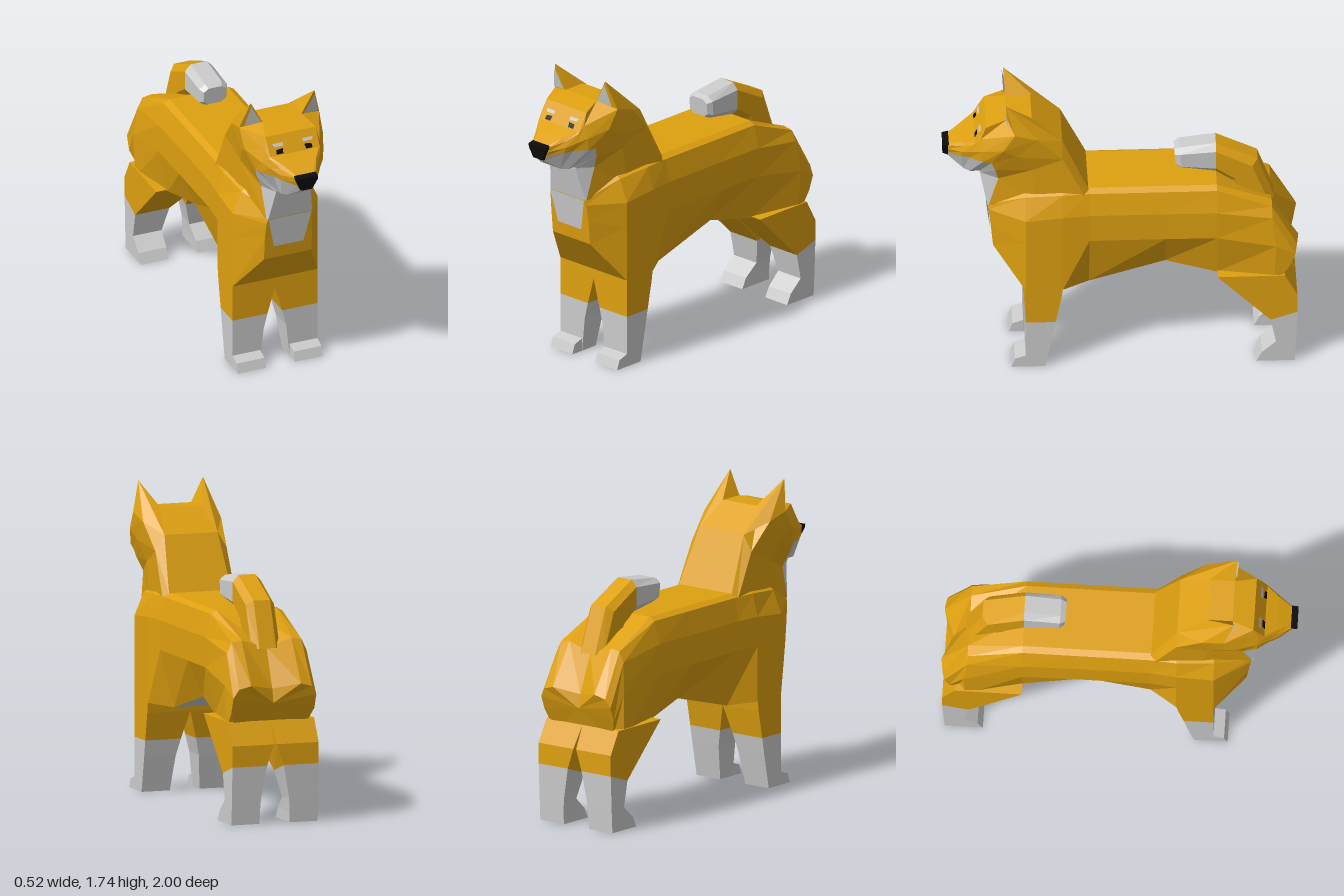
import * as THREE from 'three';

const GOLD = 0xdea010, GREY = 0xcccccc, BLACK = 0x0a0a0a;

function meshFrom(name, positions, color, side = THREE.FrontSide) {
  const g = new THREE.BufferGeometry();
  g.setAttribute('position', new THREE.Float32BufferAttribute(positions, 3));
  g.computeVertexNormals();
  const m = new THREE.Mesh(g, new THREE.MeshStandardMaterial({ color, flatShading: true, side }));
  m.name = name;
  return m;
}

// Closed skin over rings of equal point count; colorOf(band, strip) picks the paint, band -1 / -2 are the end caps
function loft(name, rings, colorOf) {
  const tris = [], n = rings[0].length;
  const add = (a, b, c, color) => tris.push({ p: [a, b, c], color });
  for (let i = 0; i < rings.length - 1; i++) {
    for (let j = 0; j < n; j++) {
      const k = (j + 1) % n, color = colorOf(i, j);
      add(rings[i][j], rings[i][k], rings[i + 1][k], color);
      add(rings[i][j], rings[i + 1][k], rings[i + 1][j], color);
    }
  }
  [rings[0], rings[rings.length - 1]].forEach((ring, e) => {
    const c = [0, 1, 2].map(a => ring.reduce((s, p) => s + p[a], 0) / n);
    for (let j = 0; j < n; j++) {
      const q = ring[j], r = ring[(j + 1) % n];
      if (e) add(c, q, r, colorOf(-2, j)); else add(c, r, q, colorOf(-1, j));
    }
  });
  // turn all faces outward
  const v = tris.map(t => t.p.map(p => new THREE.Vector3(...p)));
  const volume = v.reduce((s, [a, b, c]) => s + a.dot(b.clone().cross(c)), 0);
  const byColor = new Map();
  for (const t of tris) {
    if (!byColor.has(t.color)) byColor.set(t.color, []);
    byColor.get(t.color).push(...(volume < 0 ? [...t.p].reverse() : t.p).flat());
  }
  const group = new THREE.Group();
  group.name = name;
  for (const [color, pos] of byColor) group.add(meshFrom(name + 'Skin', pos, color));
  return group;
}

// Loft from left-hand points listed top to bottom; centre points are added, the top one sunk by dip(ring) = [dy, dz]
function mirrorLoft(name, sides, colorOf, dip = () => [0, 0]) {
  const n = sides[0].length + 1;
  const rings = sides.map((pts, i) => {
    const [, ty, tz] = pts[0], [, by, bz] = pts[n - 2], [dy, dz] = dip(i);
    const mirrored = pts.map(([x, y, z]) => [-x, y, z]).reverse();
    return [[0, ty + dy, tz + dz], ...pts, [0, by, bz], ...mirrored];
  });
  return loft(name, rings, (i, j) => colorOf(i, j < n ? j : 2 * n - 1 - j));
}

// Flat polygon drawn as a fan
function panel(name, pts, color) {
  const pos = [];
  for (let i = 1; i < pts.length - 1; i++) pos.push(...pts[0], ...pts[i], ...pts[i + 1]);
  return meshFrom(name, pos, color, THREE.DoubleSide);
}

// Limb section at one height: inner x, back z, front z, back y, front y; the outer face is flush with the flank
const limbRing = s => ([xi, zb, zf, yb, yf = yb]) =>
  [[s * xi, yb, zb], [s * .26, yb, zb], [s * .26, yf, zf], [s * xi, yf, zf]];

// Trunk section: bevelled back, upright flank, tucked belly
const trunkRing = ([z, top, topX, sideX, lowX, lowY]) =>
  [[topX, top], [topX + .035, top - .02], [sideX, top - .15], [sideX, .84], [lowX, lowY]].map(([x, y]) => [x, y, z]);

// Head section: top edge, temple, a cheek bulging between them, pale cheek edge, jaw
const headRing = ([top, temple, edge, jaw]) => {
  const cheek = temple.map((v, a) => (v + edge[a]) / 2 * (a ? 1 : 1.08));
  return [top, temple, cheek, edge, jaw];
};

// Tail section: bevelled slab between outer and inner edge, each as [z, y]
const tailRing = ([[oz, oy], [iz, iy], w = 1]) => {
  const half = [[.05, 0], [.085, .2], [.085, .8], [.05, 1]]
    .map(([x, t]) => [x * w, THREE.MathUtils.lerp(oy, iy, t), THREE.MathUtils.lerp(oz, iz, t)]);
  return [...half, ...half.map(([x, y, z]) => [-x, y, z]).reverse()];
};

export function createModel() {
  const model = new THREE.Group();
  model.name = 'dog';

  // Torso: cleft rump, trunk, chest
  const rump = [
    [[.15, .79, -1], [.22, .77, -.99], [.25, .72, -.98], [.25, .64, -.95], [.2, .52, -.9]],
    [[.15, 1.03, -.85], [.21, 1.02, -.85], [.24, .96, -.85], [.26, .78, -.87], [.25, .51, -.86]],
  ];
  const trunk = [
    [-.54, 1.16, .18, .25, .19, .57],
    [-.25, 1.16, .18, .245, .15, .63],
    [.18, 1.16, .18, .245, .16, .51],
    [.33, 1.16, .19, .26, .26, .52],
    [.54, 1.14, .17, .26, .26, .52],
  ].map(trunkRing);
  const chest = [[.07, 1.03, .75], [.13, 1.03, .75], [.14, 1, .745], [.145, .9, .733], [.145, .76, .72]];
  model.add(mirrorLoft('torso', [...rump, ...trunk, chest],
    (i, j) => (j === 5 && (i === 2 || i === 3) ? GREY : GOLD),
    i => (i === 0 ? [-.03, .06] : i === 1 ? [-.05, 0] : [0, 0])));

  // Neck, skull and muzzle, from nape to nose
  const neck = [
    [[.19, 1.15, .18], [.22, 1.1, .19], [.14, 1.03, .745], [.132, 1.03, .752]],
    [[.16, 1.47, .33], [.215, 1.38, .33], [.15, 1.22, .69], [.1, 1.22, .79]],
  ];
  const skull = [
    [[.13, 1.6, .5], [.235, 1.53, .47], [.185, 1.3, .71], [.1, 1.23, .79]],
    [[.12, 1.6, .64], [.245, 1.57, .6], [.2, 1.36, .73], [.1, 1.24, .795]],
    [[.155, 1.57, .76], [.165, 1.5, .79], [.19, 1.36, .78], [.1, 1.24, .81]],
  ];
  const muzzle = [
    [[.15, 1.47, .82], [.155, 1.46, .825], [.14, 1.36, .85], [.1, 1.24, .85]],
    [[.1, 1.44, .89], [.115, 1.42, .89], [.115, 1.355, .9], [.075, 1.245, .885]],
    [[.05, 1.4, .97], [.065, 1.395, .97], [.05, 1.34, .97], [.03, 1.305, .97]],
  ];
  model.add(mirrorLoft('neckAndHead', [...neck, ...skull, ...muzzle].map(headRing),
    (i, j) => (i >= 0 && j >= 4 ? GREY : GOLD)));

  // Nose
  model.add(mirrorLoft('nose', [[.965, 1.404, 1.305], [1, 1.395, 1.32]].map(([z, t, b]) =>
    [[.066, t, z], [.064, t - .02, z], [.03, b, z]]), () => BLACK));

  // Chest bib
  model.add(panel('bib', [[-.132, 1.03, .757], [-.09, .84, .735], [.09, .84, .735], [.132, 1.03, .757]], GREY));

  // Tail curled over the back
  model.add(loft('tail', [
    [[-.87, .98], [-.7, .95]],
    [[-.775, 1.24], [-.62, 1.1]],
    [[-.54, 1.355], [-.54, 1.165]],
    [[-.335, 1.33], [-.345, 1.195]],
    [[-.305, 1.315], [-.315, 1.21], .8],
  ].map(tailRing), i => (i >= 2 || i === -2 ? GREY : GOLD)));

  for (const s of [1, -1]) {
    const side = s > 0 ? 'left' : 'right';
    const flip = pts => pts.map(([x, y, z]) => [s * x, y, z]);

    // Front leg and paw
    model.add(loft(side + 'FrontLeg', [
      [.09, .43, .54, 0],
      [.07, .39, .54, .2],
      [.045, .372, .54, .3],
      [0, .34, .54, .46],
      [0, .33, .54, .53],
    ].map(limbRing(s)), i => (i === 0 || i === 1 ? GREY : GOLD)));
    model.add(loft(side + 'FrontPaw', [
      [.09, .53, .62, 0],
      [.09, .53, .6, .055],
      [.09, .53, .54, .075],
    ].map(limbRing(s)), i => (i === -1 ? GOLD : GREY)));

    // Hind leg with hock and paw
    model.add(loft(side + 'HindLeg', [
      [.09, -.975, -.76, 0],
      [.09, -.978, -.79, .06],
      [.085, -.982, -.87, .14, .13],
      [.05, -.99, -.84, .33, .28],
      [.01, -.99, -.69, .45, .43],
      [0, -.92, -.54, .58],
    ].map(limbRing(s)), i => (i === -1 || (i >= 0 && i < 3) ? GREY : GOLD)));

    // Ear: a wedge running back to the nape, with a pale inner face
    const tip = [.195, 1.74, .65];
    const base = [[.12, 1.6, .64], [.12, 1.6, .49], [.16, 1.47, .33], [.235, 1.53, .47], [.245, 1.57, .6]];
    const ear = new THREE.Group();
    ear.name = side + 'Ear';
    base.forEach((p, i) => ear.add(panel('earFace', flip([tip, p, base[(i + 1) % base.length]]), GOLD)));
    ear.add(panel('innerEar', flip([[.195, 1.72, .657], [.13, 1.605, .649], [.225, 1.59, .628]]), GREY));
    model.add(ear);

    // Eye and brow mark, lying on the sloped face
    const mark = (name, pts, color) =>
      model.add(panel(name, flip(pts.map(([x, y]) => [x, y, .766 + (1.57 - y) * .6])), color));
    mark(side + 'Eye', [[.07, 1.478], [.11, 1.478], [.108, 1.5], [.065, 1.504]], BLACK);
    mark(side + 'Brow', [[.06, 1.515], [.115, 1.515], [.125, 1.532], [.06, 1.532]], GREY);
  }
  return model;
}
